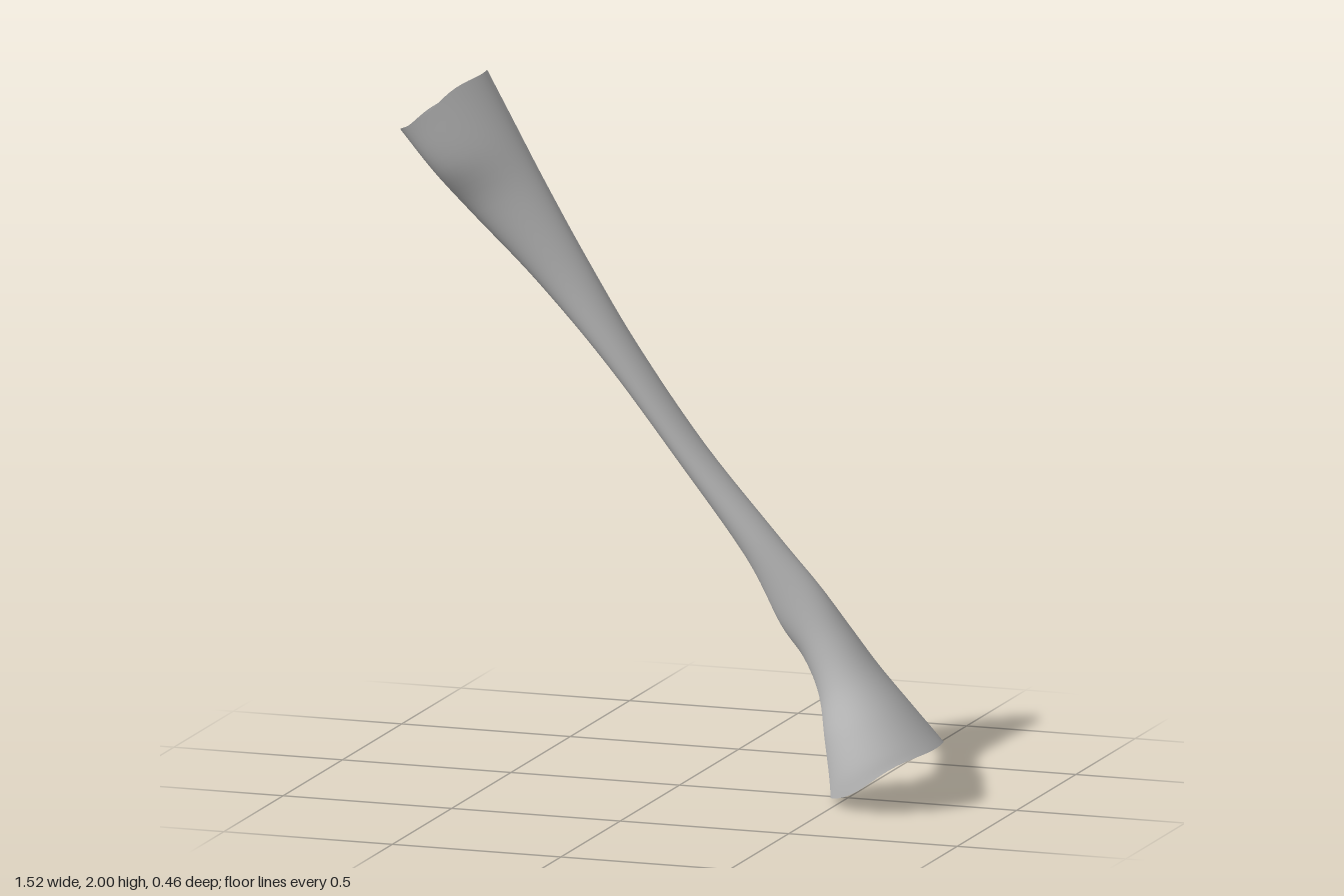
import * as THREE from 'three';

// Cross-sections from top to bottom:
// [lower edge x, y, upper edge x, y, z max, z min, twist]
const SECTIONS = [
  [-0.76, 1.86, -0.58, 2.0, 0.23, -0.07, 0.64],
  [-0.67, 1.74, -0.49, 1.85, 0.2, -0.055, 0.6],
  [-0.574, 1.617, -0.4, 1.7, 0.145, -0.04, 0.5],
  [-0.4, 1.43, -0.27, 1.485, 0.1, -0.03, 0.35],
  [-0.2, 1.2, -0.12, 1.245, 0.078, -0.037, 0.2],
  [0, 0.94, 0.07, 0.98, 0.063, -0.052, 0.1],
  [0.2, 0.67, 0.28, 0.74, 0.057, -0.066, 0],
  [0.3, 0.484, 0.41, 0.595, 0.058, -0.08, 0],
  [0.37, 0.39, 0.5, 0.475, 0.067, -0.105, 0],
  [0.415, 0.29, 0.575, 0.375, 0.09, -0.135, 0],
  [0.435, 0.17, 0.665, 0.27, 0.135, -0.18, 0],
  [0.45, 0.07, 0.725, 0.2, 0.165, -0.215, 0],
  [0.457, 0, 0.76, 0.16, 0.178, -0.23, 0],
];

// Smooth curve through three columns of the section list
function columnCurve(a, b, c) {
  const points = SECTIONS.map((s) => new THREE.Vector3(s[a], s[b], c === null ? 0 : s[c]));
  return new THREE.CatmullRomCurve3(points, false, 'catmullrom', 0.5);
}

// Open flared tube lofted through the sections
function shaftGeometry(rings, sides) {
  const lower = columnCurve(0, 1, null);
  const upper = columnCurve(2, 3, null);
  const depth = columnCurve(4, 5, 6);
  const positions = [];
  const indices = [];
  for (let i = 0; i <= rings; i++) {
    const v = i / rings;
    const A = lower.getPoint(v);
    const B = upper.getPoint(v);
    const d = depth.getPoint(v);
    const rim = Math.pow(Math.abs(2 * v - 1), 12);
    for (let j = 0; j < sides; j++) {
      const t = (j / sides) * Math.PI * 2;
      const k = (1 - Math.cos(t)) / 2;
      // uneven broken edge, fading to nothing along the shaft
      const chip = rim * 0.008 * Math.sin(t) * Math.sin(3 * t + 1);
      positions.push(
        A.x + (B.x - A.x) * k - chip * 0.6,
        A.y + (B.y - A.y) * k + chip,
        (d.x + d.y) / 2 + ((d.x - d.y) / 2) * Math.sin(t + d.z)
      );
      if (i < rings) {
        const a = i * sides + j;
        const b = i * sides + ((j + 1) % sides);
        indices.push(a, a + sides, b, b, a + sides, b + sides);
      }
    }
  }
  const geometry = new THREE.BufferGeometry();
  geometry.setAttribute('position', new THREE.Float32BufferAttribute(positions, 3));
  geometry.setIndex(indices);
  geometry.computeVertexNormals();
  return geometry;
}

export function createModel() {
  const group = new THREE.Group();
  group.name = 'hollowShaft';

  const paleGrey = new THREE.MeshStandardMaterial({ color: 0xc4c4c4, side: THREE.DoubleSide });
  paleGrey.name = 'pale grey';

  const shaft = new THREE.Mesh(shaftGeometry(72, 40), paleGrey);
  shaft.name = 'shaft';
  group.add(shaft);
  return group;
}
